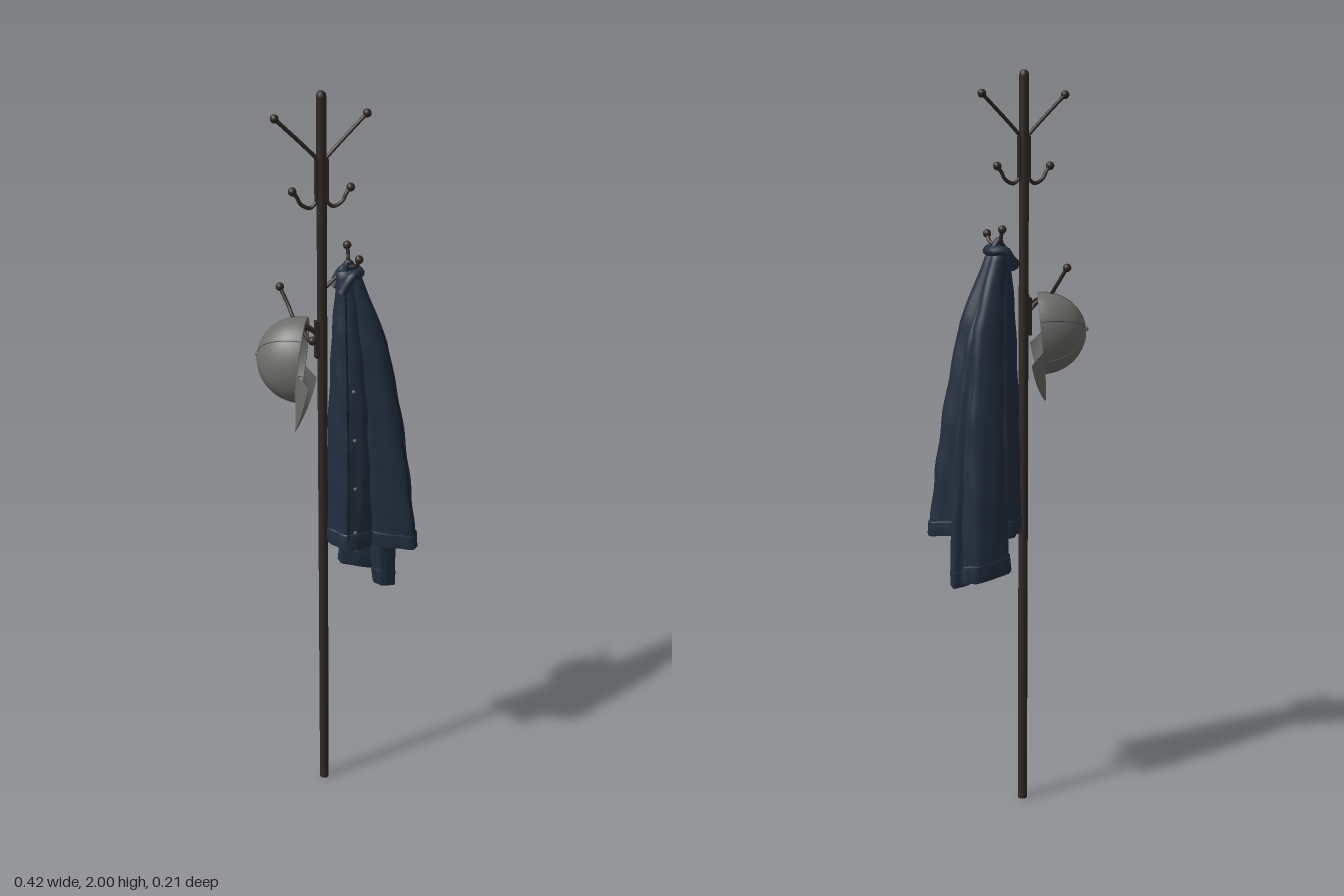
import * as THREE from 'three';
import { ParametricGeometry } from 'three/addons/geometries/ParametricGeometry.js';

const mat = (name, color, side = THREE.FrontSide) => {
  const m = new THREE.MeshStandardMaterial({ color, side });
  m.name = name;
  return m;
};
const V = (x, y, z) => new THREE.Vector3(x, y, z);

export function createModel() {
  const root = new THREE.Group();
  root.name = 'coatStand';
  const wood = mat('dark brown', 0x302925);
  const denim = mat('navy denim', 0x222e40, THREE.DoubleSide);
  const lining = mat('dark lining', 0x131820, THREE.DoubleSide);
  const grey = mat('cap grey', 0x6c6e6a, THREE.DoubleSide);
  const seamGrey = mat('seam grey', 0x50524f);
  const metal = mat('button metal', 0x6a6560);

  const add = (name, geo, material, parent = root, pos = [0, 0, 0]) => {
    const m = new THREE.Mesh(geo, material);
    m.name = name;
    m.position.set(...pos);
    parent.add(m);
    return m;
  };
  const tube = (pts, r, n = 20) =>
    new THREE.TubeGeometry(new THREE.CatmullRomCurve3(pts.map(p => V(...p))), n, r, 8);

  // Pole with a rounded top
  const px = -0.036, pz = -0.023;
  const profile = [[0, 0], [0.013, 0], [0.013, 1.985], [0.011, 1.995], [0.006, 2], [0, 2]];
  add('pole', new THREE.LatheGeometry(profile.map(p => new THREE.Vector2(...p)), 20), wood, root, [px, 0, pz]);

  // Hooks: a bent rod ending in a ball
  const hook = (name, pts) => {
    const g = new THREE.Group();
    g.name = name;
    add('rod', tube(pts, 0.005), wood, g);
    add('ball', new THREE.SphereGeometry(0.011, 14, 10), wood, g, pts[pts.length - 1]);
    root.add(g);
  };
  for (const s of [-1, 1]) {
    const at = (d, y) => [px + s * d, y, pz];
    hook('upperHook', [at(0, 1.825), at(0.04, 1.865), at(0.12, 1.94)]);
    hook('smallHook', [at(0.008, 1.735), at(0.03, 1.716), at(0.055, 1.727), at(0.065, 1.745), at(0.077, 1.76)]);
    add('hookPlate', new THREE.BoxGeometry(0.008, 0.11, 0.014), wood, root, at(0.013, 1.78));
  }
  hook('frontCoatHook', [[px, 1.5, pz], [0.0, 1.53, -0.022], [0.03, 1.56, -0.01], [0.045, 1.565, 0.01], [0.045, 1.587, 0.029]]);
  hook('backCoatHook', [[px, 1.5, pz], [0.0, 1.53, -0.024], [0.03, 1.56, -0.035], [0.045, 1.57, -0.05], [0.047, 1.602, -0.063]]);
  hook('frontCapHook', [[px, 1.37, pz], [-0.07, 1.4, pz], [-0.1, 1.41, 0.015], [-0.097, 1.395, 0.06], [-0.102, 1.408, 0.09]]);
  hook('backCapHook', [[px, 1.37, pz], [-0.07, 1.405, -0.025], [-0.105, 1.425, -0.04], [-0.113, 1.455, -0.065], [-0.127, 1.5, -0.093]]);
  add('hookPlate', new THREE.BoxGeometry(0.01, 0.1, 0.018), wood, root, [px - 0.015, 1.37, pz]);

  // Cloth loft: sections are [y, centre x, centre z, half length, half width, turn]
  const N = 40, ROWS = 36;
  function sectionAt(secs, t) {
    const f = t * (secs.length - 1), i = Math.min(Math.floor(f), secs.length - 2);
    return secs[i].map((v, k) => THREE.MathUtils.lerp(v, secs[i + 1][k], f - i));
  }
  function ringPoint(secs, t, c, o, shrink = 1) {
    const [y, cx, cz, rx, rz, turn] = sectionAt(secs, t);
    const a = (c / N) * Math.PI * 2;
    const fold = 1 + t * (0.07 * Math.sin(5 * a + o.phase + t * 3) + 0.03 * Math.sin(9 * a - t * 7 + o.phase));
    const wrinkle = 1 + 0.025 * Math.sin(t * 34 + 2 * a + o.phase);
    const lx = Math.cos(a) * rx * fold * wrinkle * shrink, lz = Math.sin(a) * rz * fold * wrinkle * shrink;
    return [cx + lx * Math.cos(turn) - lz * Math.sin(turn), y + o.slope * lx * t,
      cz + lx * Math.sin(turn) + lz * Math.cos(turn)];
  }
  function rings(list) {
    const pos = list.flat(2), index = [];
    for (let r = 0; r < list.length - 1; r++) for (let c = 0; c < N; c++) {
      const a = r * N + c, b = r * N + (c + 1) % N;
      index.push(a, b, a + N, b, b + N, a + N);
    }
    const g = new THREE.BufferGeometry();
    g.setAttribute('position', new THREE.Float32BufferAttribute(pos, 3));
    g.setIndex(index);
    g.computeVertexNormals();
    return g;
  }
  const ring = (secs, t, o, s) => Array.from({ length: N }, (_, c) => ringPoint(secs, t, c, o, s));

  const jacket = new THREE.Group();
  jacket.name = 'jacket';
  root.add(jacket);
  function cloth(name, secs, phase, slope = 0) {
    const o = { phase, slope };
    const rows = [ring(secs, 0, o, 0.01)];
    for (let r = 0; r <= ROWS; r++) rows.push(ring(secs, r / ROWS, o));
    add(name, rings(rows), denim, jacket);
    // Stitched hem band and dark inside
    add(name + 'Hem', rings([ring(secs, 0.945, o, 1), ring(secs, 0.95, o, 1.05), ring(secs, 0.995, o, 1.05), ring(secs, 1, o, 0.97)]), denim, jacket);
    add(name + 'Lining', rings([ring(secs, 0.999, o, 0.97), ring(secs, 0.97, o, 0.85), ring(secs, 0.96, o, 0.01)]), lining, jacket);
    return c => ringPoint(secs, c[0], c[1], o, 1.01);
  }
  const onBody = cloth('jacketBody', [
    [1.55, 0.025, -0.008, 0.025, 0.022, 0],
    [1.40, 0.03, -0.008, 0.042, 0.042, 0],
    [1.20, 0.034, -0.006, 0.054, 0.058, 0],
    [1.00, 0.036, -0.006, 0.058, 0.068, 0],
    [0.785, 0.035, -0.004, 0.059, 0.07, 0]], 0.6);
  const onFront = cloth('frontSleeve', [
    [1.55, 0.035, -0.005, 0.022, 0.018, 0.3],
    [1.36, 0.075, 0.012, 0.054, 0.034, 0.45],
    [1.17, 0.1, 0.025, 0.064, 0.036, 0.52],
    [0.97, 0.117, 0.036, 0.074, 0.037, 0.56],
    [0.785, 0.133, 0.046, 0.08, 0.036, 0.58]], 2.1, -0.1);
  cloth('backSleeve', [
    [1.54, 0.035, -0.02, 0.02, 0.018, 0],
    [1.35, 0.068, -0.033, 0.045, 0.026, 0.05],
    [1.12, 0.085, -0.045, 0.056, 0.032, 0.08],
    [0.90, 0.092, -0.053, 0.06, 0.034, 0.1],
    [0.68, 0.088, -0.055, 0.066, 0.032, 0.1]], 4.2, -0.2);
  cloth('middleSleeve', [
    [1.50, 0.045, -0.01, 0.02, 0.02, 0],
    [1.30, 0.085, -0.006, 0.042, 0.025, 0],
    [1.08, 0.108, 0.0, 0.044, 0.027, 0],
    [0.86, 0.124, 0.008, 0.04, 0.027, 0],
    [0.645, 0.13, 0.019, 0.031, 0.023, 0]], 1.3, -0.2);

  // Collar: folded band under the hook
  const collarPts = [[0, 1.5, 0.022], [0.03, 1.545, 0.024], [0.056, 1.545, 0.005], [0.056, 1.545, -0.026], [0.03, 1.545, -0.044], [0, 1.5, -0.042]];
  add('collar', tube(collarPts, 0.013, 30), denim, jacket);
  add('hangingLoop', tube([[0.02, 1.53, -0.01], [0.03, 1.572, -0.01], [0.05, 1.545, -0.01]], 0.009), denim, jacket);

  // Buttons and seams lying on the cloth
  const dot = new THREE.SphereGeometry(0.005, 10, 6);
  for (const t of [0.45, 0.62, 0.79, 0.94]) add('button', dot, metal, jacket, onBody([t, 11]));
  for (const t of [0.62, 0.8]) add('button', dot, metal, jacket, onFront([t, 14]));
  const seam = (on, c, t0, t1) => add('seam',
    tube(Array.from({ length: 12 }, (_, i) => on([t0 + (t1 - t0) * i / 11, c])), 0.0025, 40), lining, jacket);
  seam(onBody, 13, 0.1, 0.98);
  seam(onFront, 16, 0.2, 0.95);
  seam(onFront, 2, 0.2, 0.95);

  // Cap, built upright then hung with its brim pointing down
  const cap = new THREE.Group();
  cap.name = 'cap';
  root.add(cap);
  const R = [0.086, 0.118, 0.113];
  const dome = (th, ph, s = 1) => [s * R[0] * Math.sin(th) * Math.sin(ph), s * R[1] * Math.cos(th), s * R[2] * Math.sin(th) * Math.cos(ph)];
  const crown = new THREE.SphereGeometry(1, 40, 16, 0, Math.PI * 2, 0, Math.PI / 2);
  crown.scale(...R);
  add('crown', crown, grey, cap);
  for (let k = 0; k < 6; k++) {
    const ph = k * Math.PI / 3;
    add('crownSeam', tube(Array.from({ length: 10 }, (_, i) => dome(0.05 + i * 0.168, ph, 0.996)), 0.0014, 24), seamGrey, cap);
  }
  add('capButton', new THREE.SphereGeometry(0.007, 12, 8), grey, cap, [0, R[1], 0]);
  const band = new THREE.TorusGeometry(1, 0.02, 6, 48);
  band.rotateX(Math.PI / 2).scale(R[0] * 0.985, 0.1, R[2] * 0.985);
  add('rimBand', band, grey, cap);
  const brim = new ParametricGeometry((u, v, out) => {
    const a = (u - 0.5) * 2.7, c = Math.cos(a), s = Math.sin(a);
    out.set(s * (R[0] + 0.008 * v), -0.03 * s * s * v - 0.006 * v, R[2] * c + 0.077 * v * Math.pow(c, 0.6));
  }, 32, 8);
  add('brim', brim, grey, cap);
  const up = V(-0.86, 0.1, -0.45).normalize();
  const side = new THREE.Vector3().crossVectors(up, V(-0.15, -0.98, 0.15)).normalize();
  const forward = new THREE.Vector3().crossVectors(side, up);
  cap.quaternion.setFromRotationMatrix(new THREE.Matrix4().makeBasis(side, up, forward));
  cap.position.set(-0.095, 1.322, -0.015);

  return root;
}
